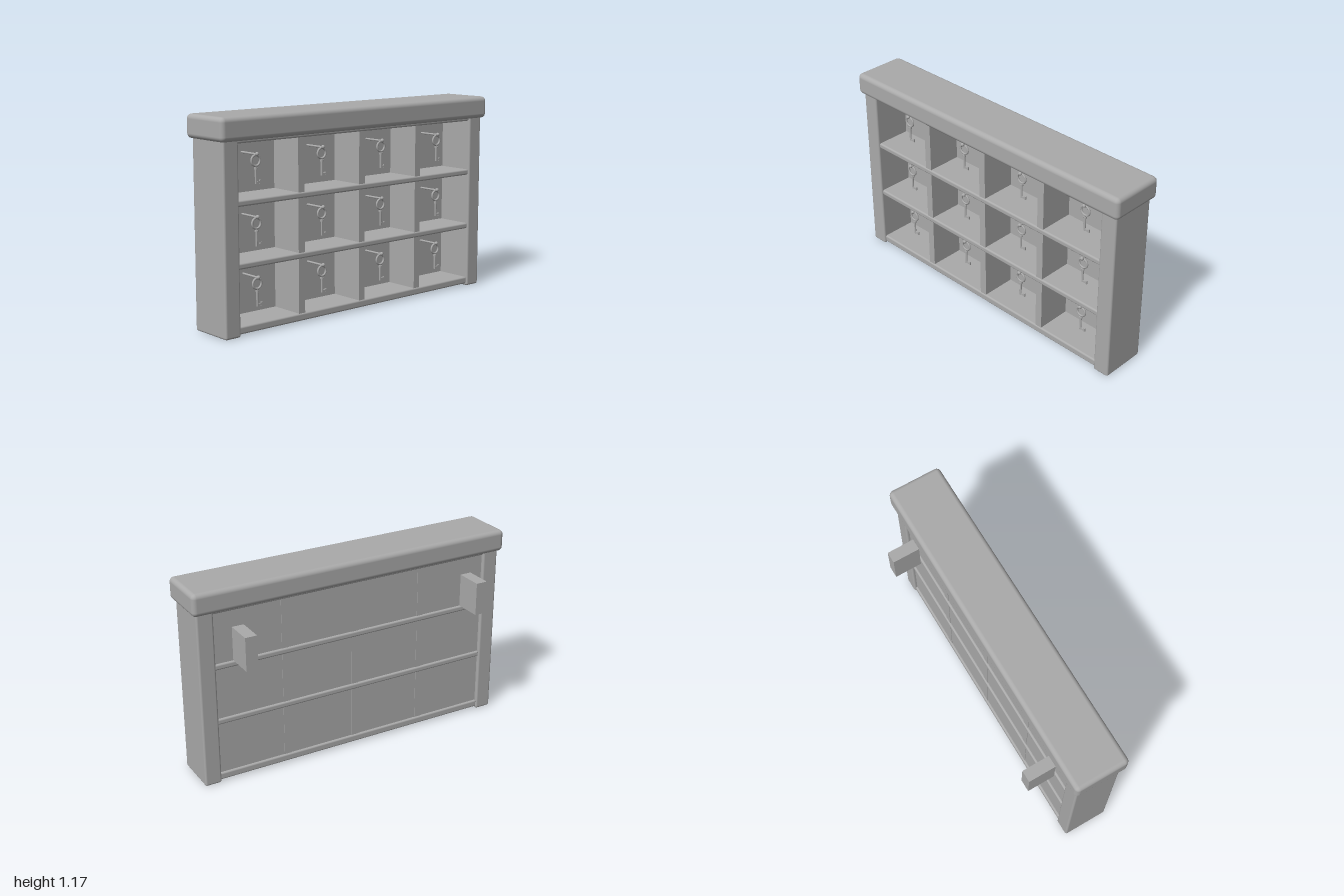
import * as THREE from 'three';
import { RoundedBoxGeometry } from 'three/addons/geometries/RoundedBoxGeometry.js';

const grey = new THREE.MeshStandardMaterial({ color: 0xaaaaaa });
grey.name = 'plain grey';

function add(parent, name, geometry, x = 0, y = 0, z = 0) {
  const mesh = new THREE.Mesh(geometry, grey);
  mesh.name = name;
  mesh.position.set(x, y, z);
  parent.add(mesh);
  return mesh;
}

// Box given by its limits on each axis, with optional rounded edges
function block(parent, name, [x0, x1], [y0, y1], [z0, z1], radius = 0) {
  const size = [x1 - x0, y1 - y0, z1 - z0];
  const geometry = radius
    ? new RoundedBoxGeometry(...size, 4, radius)
    : new THREE.BoxGeometry(...size);
  return add(parent, name, geometry, (x0 + x1) / 2, (y0 + y1) / 2, (z0 + z1) / 2);
}

// Key hanging on a peg; the origin is the centre of its ring
function makeKey() {
  const key = new THREE.Group();
  key.name = 'hangingKey';
  add(key, 'keyRing', new THREE.TorusGeometry(0.029, 0.006, 10, 24));
  add(key, 'keyShaft', new THREE.CylinderGeometry(0.006, 0.006, 0.1, 12), 0, -0.076, 0);
  add(key, 'keyCollar', new THREE.CylinderGeometry(0.01, 0.01, 0.01, 12), 0, -0.042, 0);
  add(key, 'keyBit', new THREE.BoxGeometry(0.034, 0.011, 0.008), 0.017, -0.118, 0);
  add(key, 'keyTooth', new THREE.BoxGeometry(0.01, 0.02, 0.008), 0.029, -0.116, 0);
  // Peg reaching back to the rear panel, with a small round tip
  const peg = add(key, 'peg', new THREE.CylinderGeometry(0.006, 0.006, 0.14, 10), 0, 0.034, -0.06);
  peg.rotation.x = Math.PI / 2;
  add(key, 'pegTip', new THREE.SphereGeometry(0.011, 12, 8), 0, 0.036, 0.012);
  return key;
}

export function createModel() {
  const model = new THREE.Group();
  model.name = 'keyCabinet';

  // Heavy rounded top
  block(model, 'top', [-1, 1], [1.045, 1.175], [-0.09, 0.235], 0.027);

  // Side walls
  block(model, 'rightSide', [-0.975, -0.875], [0, 1.06], [-0.065, 0.21], 0.012);
  block(model, 'leftSide', [0.875, 0.975], [0, 1.06], [-0.065, 0.21], 0.012);

  // Rear panel
  block(model, 'backPanel', [-0.885, 0.885], [0.03, 1.05], [-0.045, -0.015]);

  // Shelves, floor and ceiling board
  const shelves = [[0.012, 0.055], [0.363, 0.397], [0.698, 0.732], [1.03, 1.062]];
  for (const y of shelves) block(model, 'shelf', [-0.88, 0.88], y, [-0.057, 0.2], 0.01);

  // Upright dividers
  for (const x of [-0.445, 0, 0.445]) {
    block(model, 'divider', [x - 0.022, x + 0.022], [0.03, 1.045], [-0.048, 0.195]);
  }

  // One key in every compartment
  for (const x of [-0.69, -0.228, 0.225, 0.688]) {
    for (const y of [0.246, 0.578, 0.918]) {
      const key = makeKey();
      key.position.set(x, y, 0.11);
      model.add(key);
    }
  }

  // Wall mounting blocks at the rear
  for (const x of [-0.745, 0.74]) {
    block(model, 'wallBlock', [x - 0.035, x + 0.035], [0.745, 0.943], [-0.235, -0.07]);
  }

  return model;
}
